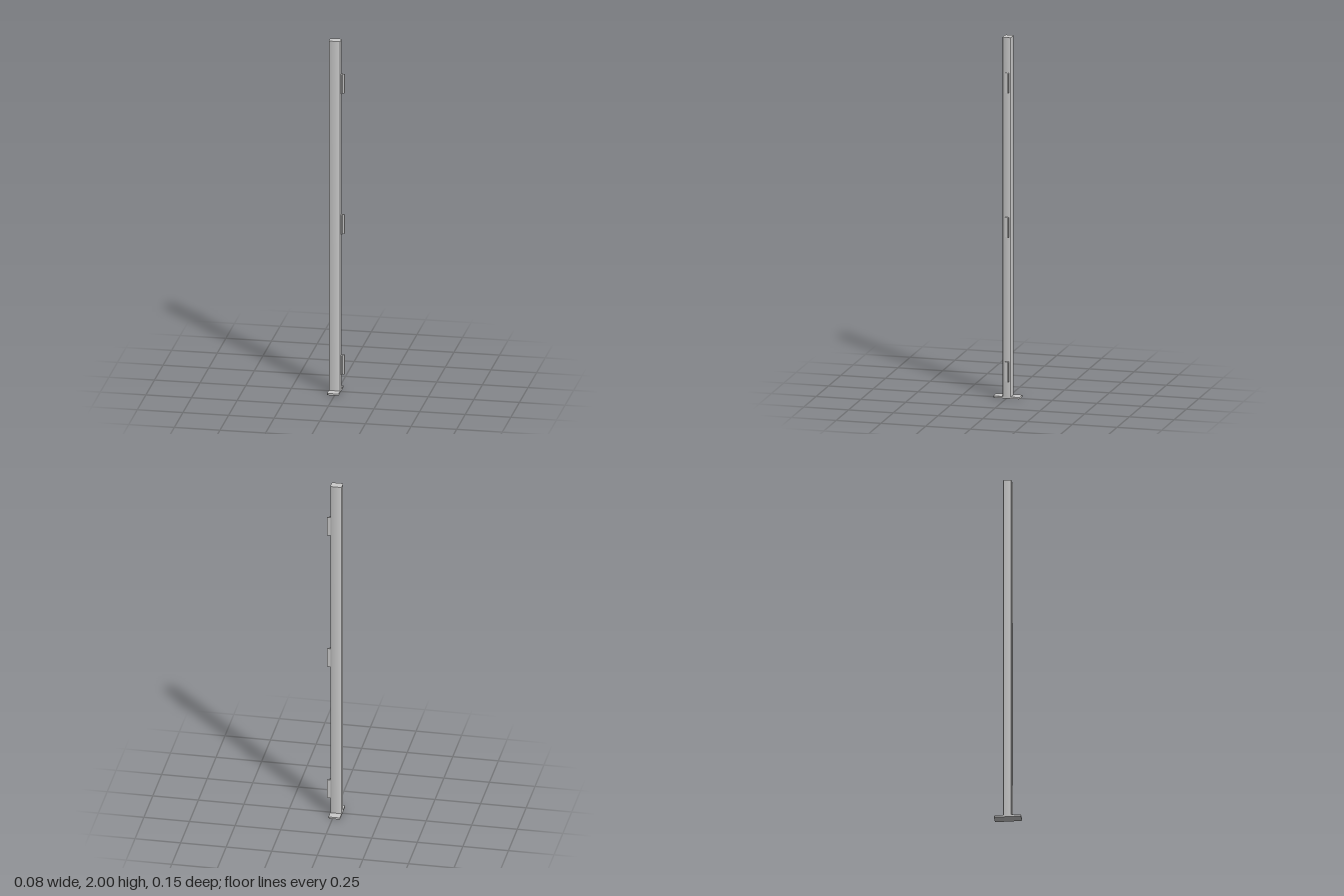
import * as THREE from 'three';
import { toCreasedNormals } from 'three/addons/utils/BufferGeometryUtils.js';

const material = new THREE.MeshStandardMaterial({ color: 0xcccccc });

// Extrudes a plan outline (x, -z) upwards from y0 to y1
function upright(name, shape, y0, y1) {
  const geometry = new THREE.ExtrudeGeometry(shape, { depth: y1 - y0, bevelEnabled: false, curveSegments: 4 });
  geometry.rotateX(-Math.PI / 2);
  const mesh = new THREE.Mesh(toCreasedNormals(geometry, 0.6), material);
  mesh.name = name;
  mesh.position.y = y0;
  return mesh;
}

// Rectangle in plan with rounded corners
function roundedPlan(x0, x1, z0, z1, r) {
  const s = new THREE.Shape();
  s.absarc(x1 - r, -z0 - r, r, 0, Math.PI / 2);
  s.absarc(x0 + r, -z0 - r, r, Math.PI / 2, Math.PI);
  s.absarc(x0 + r, -z1 + r, r, Math.PI, Math.PI * 1.5);
  s.absarc(x1 - r, -z1 + r, r, Math.PI * 1.5, Math.PI * 2);
  s.closePath();
  return s;
}

export function createModel() {
  const group = new THREE.Group();
  group.name = 'fencePost';

  // Foot plate and post
  group.add(upright('footPlate', roundedPlan(-0.041, 0.022, -0.074, 0.073, 0.008), 0, 0.01));
  group.add(upright('post', roundedPlan(-0.041, 0.022, -0.025, 0.023, 0.008), 0.01, 2));

  // Angle brackets on the left face: a mounting strip with a thin outward flange
  const bracket = new THREE.Shape([
    [0.022, 0.016], [0.022, -0.005], [0.029, -0.005], [0.029, 0.011], [0.04, 0.011], [0.04, 0.016],
  ].map(([x, y]) => new THREE.Vector2(x, y)));
  for (const y of [0.15, 0.95, 1.75]) {
    group.add(upright('bracket', bracket, y - 0.055, y + 0.055));
  }
  return group;
}
